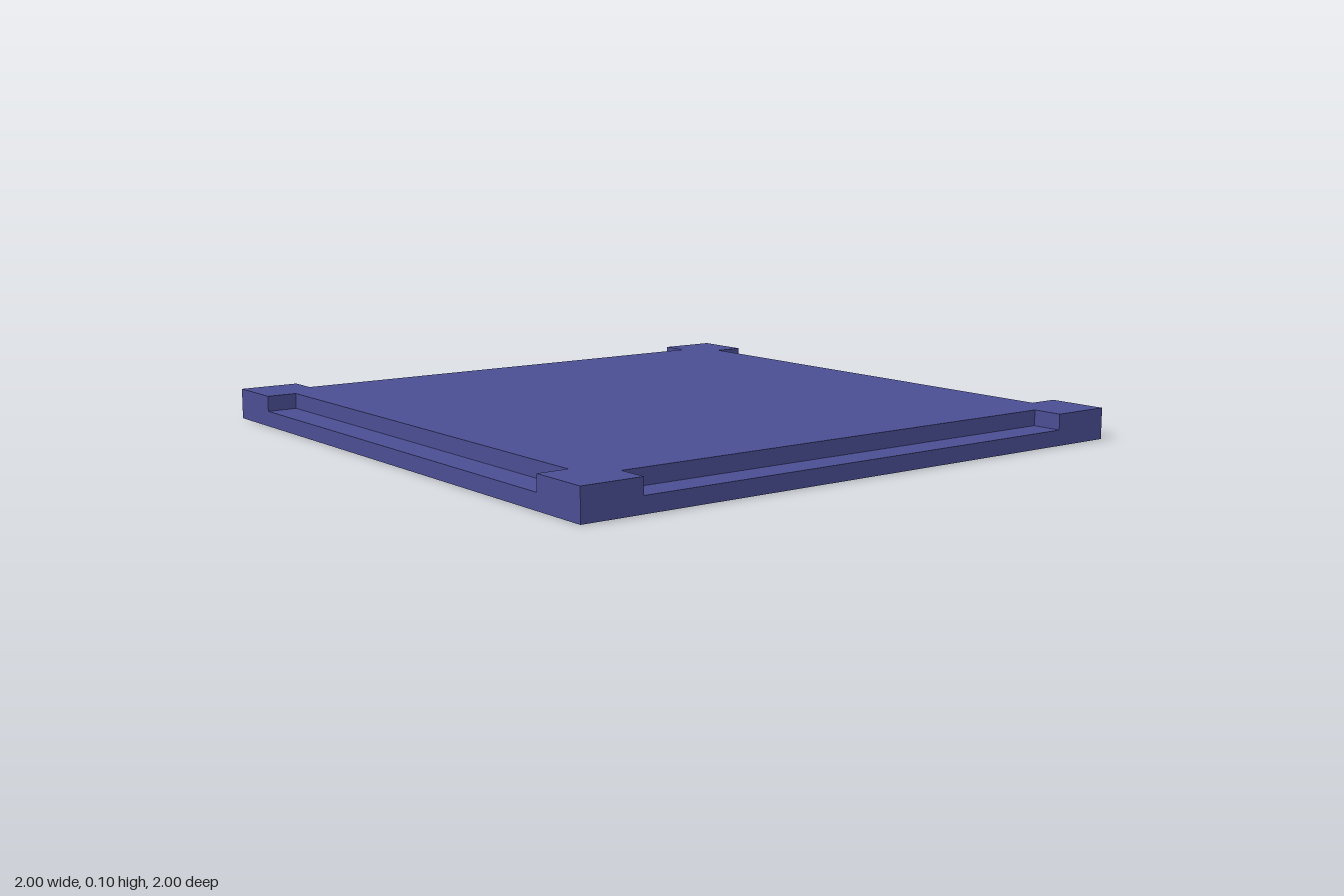
import * as THREE from 'three';

export function createModel() {
  const group = new THREE.Group();
  group.name = 'floorTile';
  const indigo = new THREE.MeshStandardMaterial({ color: 0x4a4d92 });
  indigo.name = 'indigo';

  // Lower half: full square slab
  const half = 0.05;
  const base = new THREE.Mesh(new THREE.BoxGeometry(2, half, 2), indigo);
  base.name = 'baseSlab';
  base.position.y = half / 2;
  group.add(base);

  // Upper half: square with a long notch cut into each edge,
  // made by turning one corner's outline four times
  const corner = [[0.9, 0.8], [1, 0.8], [1, 1], [0.8, 1], [0.8, 0.9]];
  const outline = [];
  for (let i = 0; i < 4; i++) {
    for (const [x, y] of corner) {
      outline.push(new THREE.Vector2(x, y).rotateAround(new THREE.Vector2(), i * Math.PI / 2));
    }
  }
  const topGeometry = new THREE.ExtrudeGeometry(new THREE.Shape(outline), { depth: half, bevelEnabled: false });
  topGeometry.rotateX(-Math.PI / 2);
  const top = new THREE.Mesh(topGeometry, indigo);
  top.name = 'notchedTop';
  top.position.y = half;
  group.add(top);

  return group;
}
